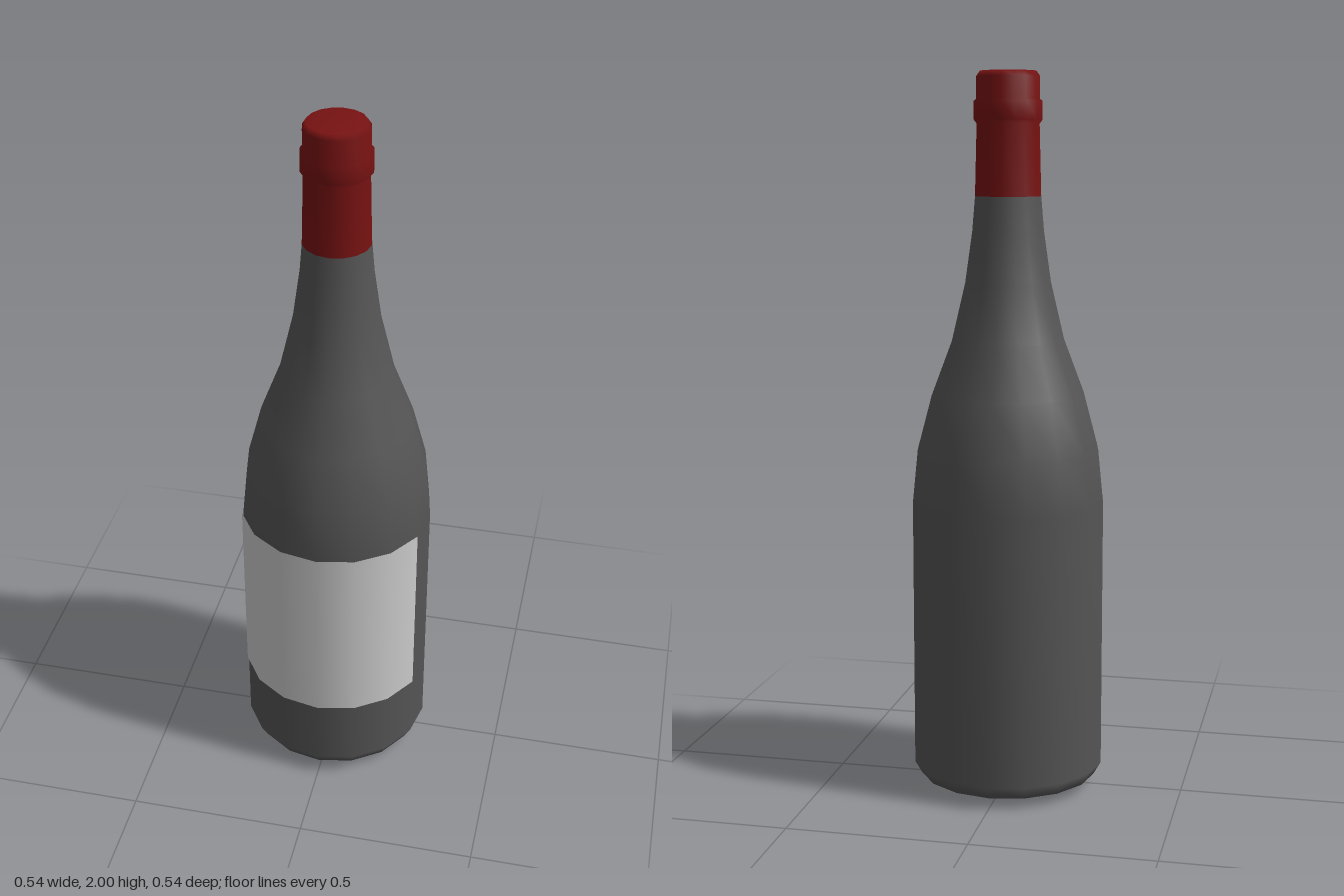
import * as THREE from 'three';

const SIDES = 16;

// Revolve a [radius, height] profile, listed from bottom to top
function lathe(name, profile, color, segments = SIDES, start = 0, sweep = Math.PI * 2) {
  const points = profile.map(([r, y]) => new THREE.Vector2(r, y));
  const mesh = new THREE.Mesh(
    new THREE.LatheGeometry(points, segments, start, sweep),
    new THREE.MeshStandardMaterial({ color, side: THREE.DoubleSide })
  );
  mesh.name = name;
  return mesh;
}

export function createModel() {
  const group = new THREE.Group();
  group.name = 'bottle';

  // Glass body: slightly domed base, straight wall, sloping shoulder and neck
  group.add(lathe('glassBody', [
    [0, 0], [0.2, 0.015], [0.25, 0.03], [0.27, 0.065],
    [0.27, 0.82], [0.255, 0.97], [0.215, 1.12], [0.158, 1.27],
    [0.12, 1.43], [0.1, 1.57], [0.092, 1.665]
  ], 0x555555));

  // Foil capsule with a raised collar and a closed, bevelled top
  group.add(lathe('foilCapsule', [
    [0.092, 1.665], [0.087, 1.86], [0.095, 1.87], [0.095, 1.92],
    [0.088, 1.925], [0.088, 1.985], [0.078, 2], [0, 2]
  ], 0x781212));

  // Blank paper label wrapped over the six front facets
  const facet = Math.PI * 2 / SIDES;
  group.add(lathe('label', [[0.274, 0.27], [0.274, 0.82]], 0xcccccc, 6, -3 * facet, 6 * facet));

  return group;
}
